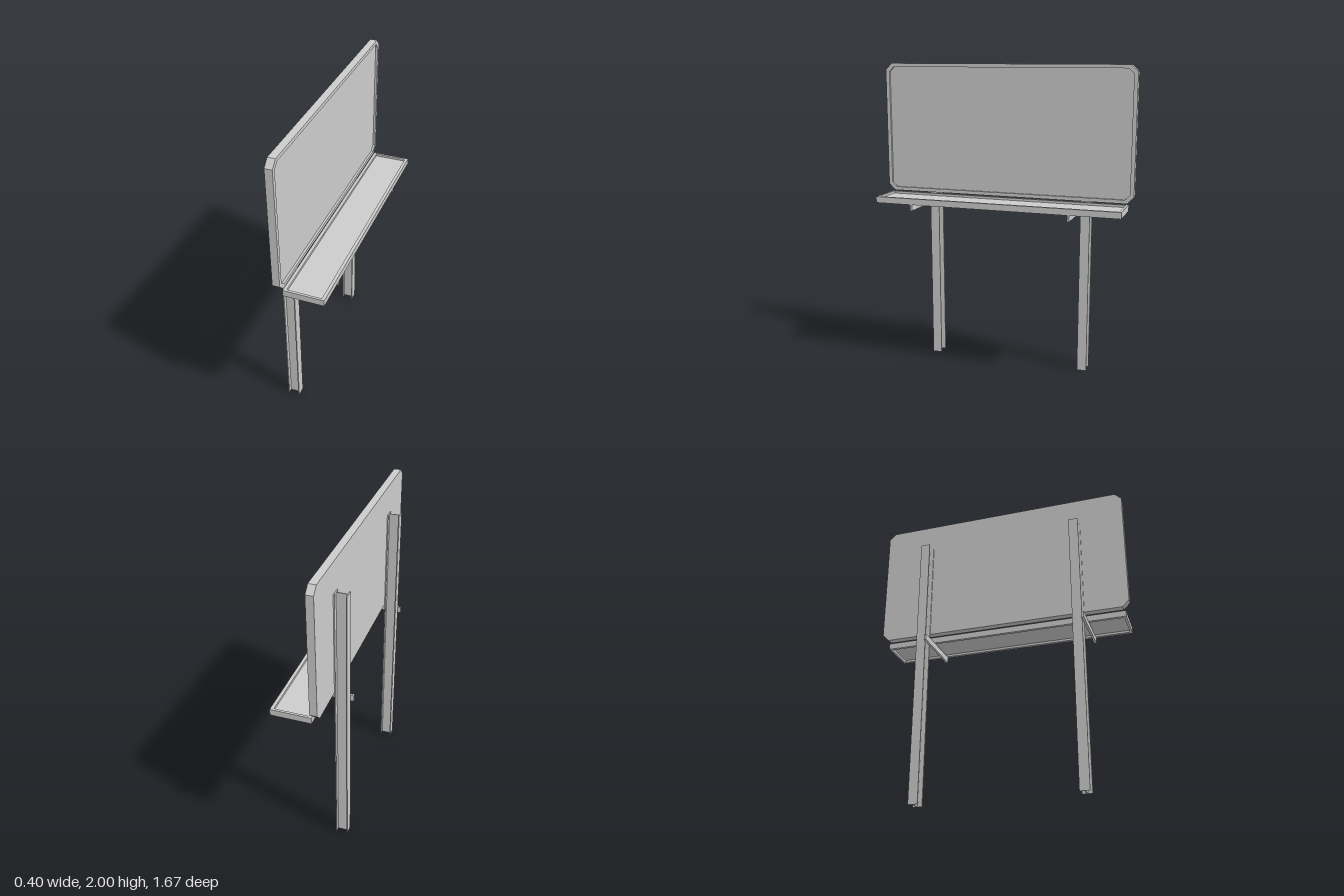
import * as THREE from 'three';

const material = new THREE.MeshStandardMaterial({ color: 0xcccccc, flatShading: true });

function add(parent, name, geometry) {
  const mesh = new THREE.Mesh(geometry, material);
  mesh.name = name;
  parent.add(mesh);
  return mesh;
}

// Box given by its extents along each axis
function box(parent, name, [x0, x1], [y0, y1], [z0, z1]) {
  const mesh = add(parent, name, new THREE.BoxGeometry(x1 - x0, y1 - y0, z1 - z0));
  mesh.position.set((x0 + x1) / 2, (y0 + y1) / 2, (z0 + z1) / 2);
  return mesh;
}

// Rectangle with cut corners, as a list of points
function cutRect(w, h, c) {
  return [
    [-w + c, -h], [w - c, -h], [w, -h + c], [w, h - c],
    [w - c, h], [-w + c, h], [-w, h - c], [-w, -h + c],
  ].map(([x, y]) => new THREE.Vector2(x, y));
}

function extrude(shape, depth) {
  return new THREE.ExtrudeGeometry(shape, { depth, bevelEnabled: false });
}

// Panel with a raised rim around its face, facing +x
function createBoard() {
  const board = new THREE.Group();
  board.name = 'board';
  const inner = cutRect(0.81, 0.4, 0.032);
  const rim = new THREE.Shape(cutRect(0.835, 0.423, 0.042));
  rim.holes.push(new THREE.Path(inner));
  add(board, 'boardFrame', extrude(rim, 0.046));
  add(board, 'boardPanel', extrude(new THREE.Shape(inner), 0.032));
  board.rotation.y = Math.PI / 2;
  board.position.set(-0.101, 1.577, 0);
  return board;
}

// Shelf: rim with a thin plate set into it
function createShelf() {
  const shelf = new THREE.Group();
  shelf.name = 'shelf';
  const rim = new THREE.Shape(cutRect(0.126, 0.805, 0).filter((p, i) => i % 2 === 0));
  rim.holes.push(new THREE.Path(cutRect(0.106, 0.79, 0).filter((p, i) => i % 2 === 0)));
  const frame = add(shelf, 'shelfRim', extrude(rim, 0.04));
  frame.rotation.x = -Math.PI / 2;
  frame.position.set(0.071, 1.11, 0);
  box(shelf, 'shelfPlate', [-0.035, 0.177], [1.125, 1.135], [-0.79, 0.79]);
  return shelf;
}

// H-section post with a shelf bracket on its side
function createSupport(z) {
  const support = new THREE.Group();
  support.name = z > 0 ? 'frontSupport' : 'rearSupport';
  const y = [0, 1.81];
  box(support, 'postOuterFlange', [-0.179, -0.172], y, [z - 0.031, z + 0.031]);
  box(support, 'postInnerFlange', [-0.108, -0.101], y, [z - 0.031, z + 0.031]);
  box(support, 'postWeb', [-0.172, -0.108], y, [z - 0.003, z + 0.003]);
  box(support, 'shelfBracket', [-0.2, 0.19], [1.07, 1.11], [z + 0.031, z + 0.046]);
  return support;
}

export function createModel() {
  const model = new THREE.Group();
  model.name = 'boardWithShelf';
  model.add(createBoard(), createShelf());
  for (const z of [-0.52, 0.52]) model.add(createSupport(z));
  return model;
}
